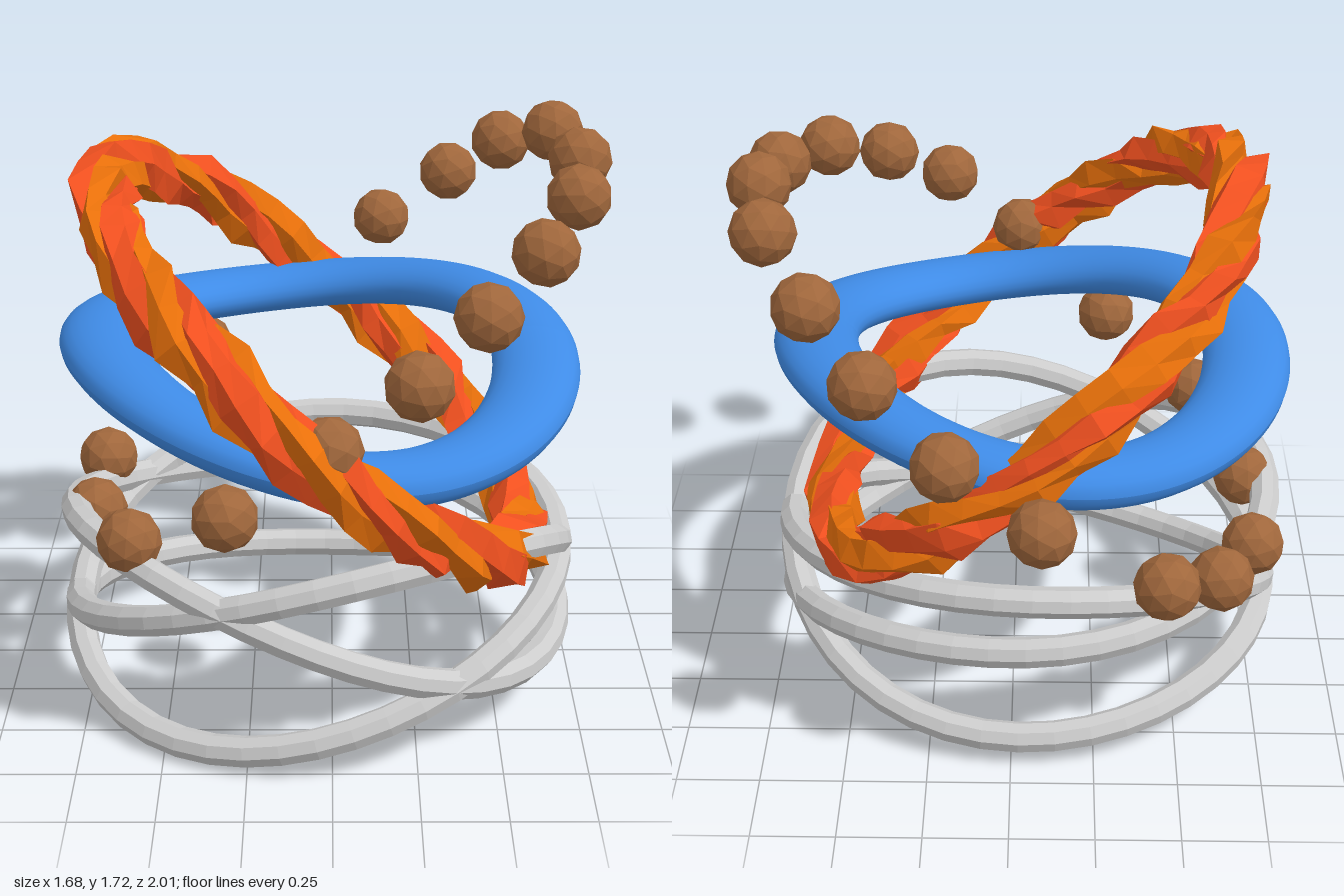
import * as THREE from 'three';

// Closed curve from a function of t in 0..1
class LoopCurve extends THREE.Curve {
  constructor(fn) { super(); this.fn = fn; }
  getPoint(t, target = new THREE.Vector3()) { return target.set(...this.fn(t)); }
}

// Small seeded noise source
function seeded(seed) {
  return () => {
    seed = (seed * 16807) % 2147483647;
    return seed / 2147483647;
  };
}

const TAU = Math.PI * 2;
const rad = THREE.MathUtils.degToRad;

function mat(color, flatShading) {
  return new THREE.MeshStandardMaterial({ color, flatShading });
}

// Three thin wire rings, each tilted its own way and slightly saddle-shaped
function wireRings() {
  const group = new THREE.Group();
  group.name = 'wireRings';
  const rings = [
    { base: 0.34, tilt: 0.26, peak: 155, saddle: 0.04 },
    { base: 0.335, tilt: 0.27, peak: 20, saddle: 0.05 },
    { base: 0.395, tilt: 0.17, peak: -90, saddle: -0.07 },
  ];
  const material = mat(0xcccccc, true);
  for (const { base, tilt, peak, saddle } of rings) {
    const curve = new LoopCurve((t) => {
      const a = t * TAU;
      return [
        -0.045 + 0.75 * Math.sin(a),
        base + tilt * Math.cos(a - rad(peak)) + saddle * Math.sin(2 * a),
        0.06 + 0.695 * Math.cos(a),
      ];
    });
    const ring = new THREE.Mesh(new THREE.TubeGeometry(curve, 44, 0.047, 8, true), material);
    ring.name = 'wireRing';
    group.add(ring);
  }
  return group;
}

// Smooth wavy ring with a flattened oval section, slightly skewed in plan
function wavyRing() {
  const geo = new THREE.TorusGeometry(1, 0.1, 24, 120);
  const p = geo.attributes.position;
  for (let i = 0; i < p.count; i++) {
    const x = p.getX(i), y = p.getY(i), h = p.getZ(i) / 0.1;
    const a = Math.atan2(y, x);
    const off = (Math.hypot(x, y) - 1) / 0.1;
    const c = Math.cos(a), s = Math.sin(a);
    const half = 0.108 + 0.022 * c * c;
    const height = 1.035 + 0.06 * Math.cos(2 * (a - rad(20))) + 0.035 * s - 0.01 * c;
    const px = (0.655 + half * off) * c;
    const pz = -(0.72 + half * off) * s;
    p.setXYZ(i, -0.045 + px + 0.06 * pz, height + 0.075 * h, 0.045 + pz + 0.04 * px);
  }
  geo.computeVertexNormals();
  const mesh = new THREE.Mesh(geo, mat(0x3f8be6, false));
  mesh.name = 'wavyRing';
  return mesh;
}

// Rough ring twisted from four jagged strands in two tones
function twistedRing() {
  const group = new THREE.Group();
  group.name = 'twistedRing';
  const R = 0.825, twists = 5, segs = 50, sides = 5;
  for (let k = 0; k < 4; k++) {
    const rnd = seeded(101 + k * 977);
    const curve = new LoopCurve((t) => {
      const a = t * TAU;
      const b = a * twists + k * TAU / 4;
      const r = R + 0.04 * Math.cos(b);
      return [r * Math.cos(a), 0.04 * Math.sin(b), r * Math.sin(a)];
    });
    const geo = new THREE.TubeGeometry(curve, segs, 0.052, sides, true);
    const p = geo.attributes.position;
    const row = sides + 1;
    // Push each corner in or out, keeping the seams closed
    for (let i = 0; i < segs; i++) {
      const c = curve.getPointAt(i / segs);
      for (let j = 0; j < sides; j++) {
        const f = 0.6 + 0.95 * rnd();
        const v = new THREE.Vector3().fromBufferAttribute(p, i * row + j).sub(c).multiplyScalar(f).add(c);
        const rows = i === 0 ? [0, segs] : [i];
        const cols = j === 0 ? [0, sides] : [j];
        for (const m of rows) for (const n of cols) p.setXYZ(m * row + n, v.x, v.y, v.z);
      }
    }
    const strand = new THREE.Mesh(geo, mat(k % 2 ? 0xe8700a : 0xf0501f, true));
    strand.name = 'strand';
    group.add(strand);
  }
  group.position.set(-0.04, 1.05, 0.07);
  group.rotation.z = -Math.atan2(1.06, 1.23);
  return group;
}

// Loop of faceted beads, leaning the opposite way
function beadLoop() {
  const spots = [
    [-0.01, 1.08, 0.87], [0.23, 1.27, 0.88], [0.42, 1.41, 0.73], [0.59, 1.52, 0.51],
    [0.71, 1.59, 0.21], [0.74, 1.63, -0.05], [0.69, 1.63, -0.38], [0.55, 1.53, -0.64],
    [0.39, 1.38, -0.8], [0.17, 1.19, -0.9], [-0.09, 0.99, -0.91], [-0.44, 0.76, -0.82],
    [-0.61, 0.64, -0.6], [-0.73, 0.56, -0.29], [-0.73, 0.56, 0.11], [-0.59, 0.65, 0.53],
    [-0.3, 0.82, 0.74],
  ];
  const group = new THREE.Group();
  group.name = 'beadLoop';
  const geo = new THREE.IcosahedronGeometry(0.097, 1);
  const material = mat(0xa0673c, true);
  spots.forEach((s, i) => {
    const bead = new THREE.Mesh(geo, material);
    bead.name = 'bead';
    bead.position.set(...s);
    bead.rotation.set(i * 0.7, i * 1.3, 0);
    group.add(bead);
  });
  return group;
}

export function createModel() {
  const model = new THREE.Group();
  model.name = 'bangleStack';
  model.add(wireRings(), wavyRing(), twistedRing(), beadLoop());
  return model;
}
